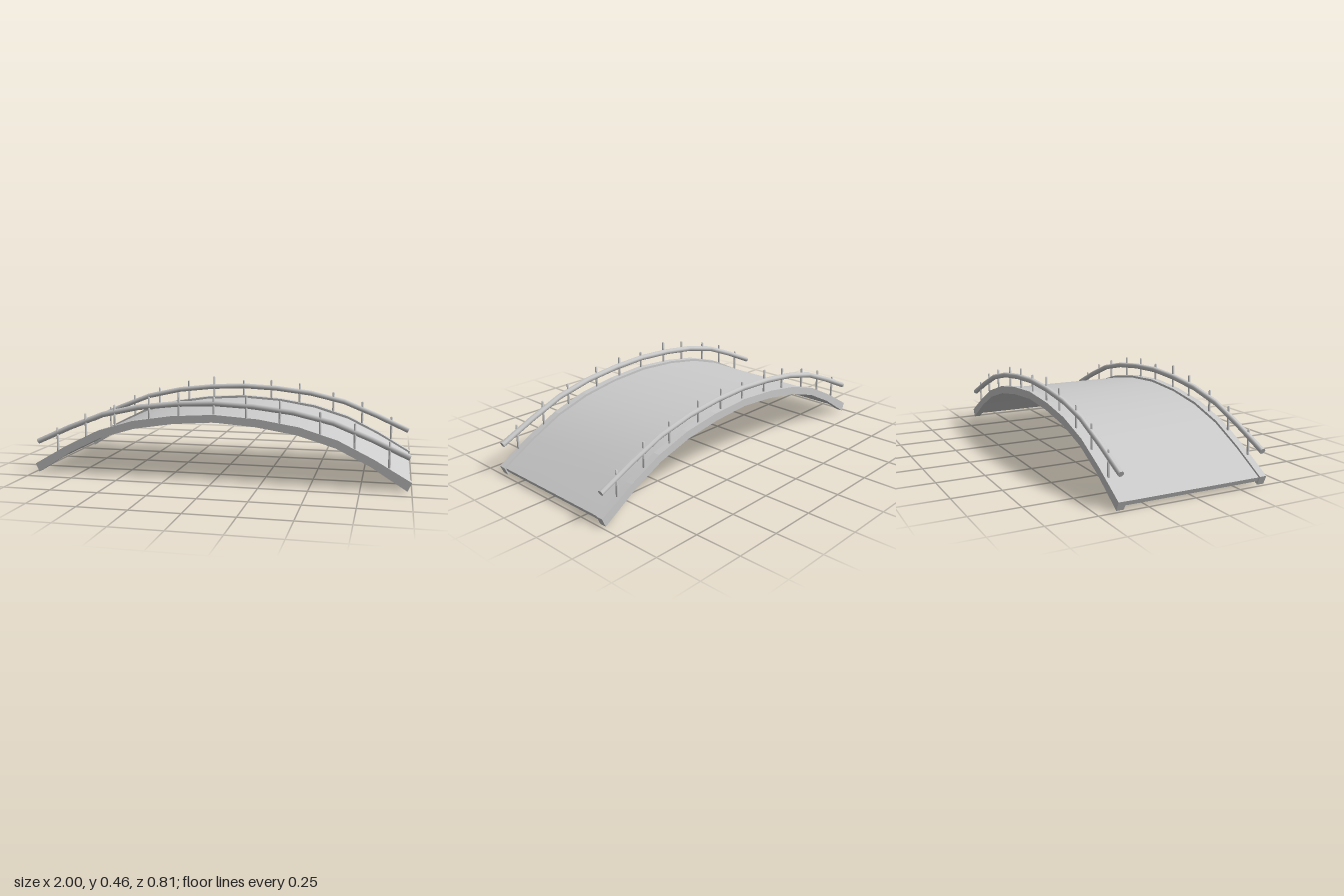
import * as THREE from 'three';
import { toCreasedNormals } from 'three/addons/utils/BufferGeometryUtils.js';

const grey = new THREE.MeshStandardMaterial({ color: 0xcccccc });

// Half profiles [x, y] from the crown to the end of the bridge
const beamTop = [[0, 0.348], [0.23, 0.333], [0.44, 0.3], [0.636, 0.24], [0.815, 0.152], [1, 0.045]];
const beamBottom = [[0, 0.308], [0.22, 0.292], [0.43, 0.259], [0.623, 0.201], [0.798, 0.115], [0.98, 0]];
const deckTop = [[0, 0.335], [0.23, 0.321], [0.437, 0.287], [0.632, 0.228], [0.81, 0.142], [0.99, 0.04]];
const deckBottom = [[0, 0.313], [0.225, 0.299], [0.432, 0.265], [0.624, 0.207], [0.8, 0.122], [0.98, 0.018]];
const railLine = [[0, 0.405], [0.23, 0.393], [0.44, 0.366], [0.632, 0.319], [0.81, 0.246], [0.987, 0.166]];

// Post positions: [x, y of the tip]
const posts = [
  [-0.87, 0.248], [-0.705, 0.33], [-0.54, 0.382], [-0.348, 0.43], [-0.187, 0.46], [0, 0.44],
  [0.17, 0.447], [0.342, 0.43], [0.545, 0.382], [0.717, 0.33], [0.888, 0.246],
];

// Mirror a half profile into a full left-to-right arch
const arch = (half) => [...half.slice(1).reverse().map(([x, y]) => [-x, y]), ...half];

function addMesh(parent, name, geometry) {
  const mesh = new THREE.Mesh(geometry, grey);
  mesh.name = name;
  parent.add(mesh);
  return mesh;
}

// Solid arch slab between two profiles, centred on its own z
function archSlab(top, bottom, width, crease) {
  const outline = [...arch(bottom), ...arch(top).reverse()].map(([x, y]) => new THREE.Vector2(x, y));
  const geometry = new THREE.ExtrudeGeometry(new THREE.Shape(outline), { depth: width, bevelEnabled: false });
  geometry.translate(0, 0, -width / 2);
  return toCreasedNormals(geometry, crease);
}

// Round rail swept along the arch, with closed ends
function railGeometry() {
  const path = new THREE.CatmullRomCurve3(arch(railLine).map(([x, y]) => new THREE.Vector3(x, y, 0)));
  const section = new THREE.Shape();
  for (let i = 0; i < 8; i++) {
    const a = ((i + 0.5) / 8) * Math.PI * 2;
    const x = Math.cos(a) * 0.0155, y = Math.sin(a) * 0.0155;
    if (i) section.lineTo(x, y); else section.moveTo(x, y);
  }
  const geometry = new THREE.ExtrudeGeometry(section, { steps: 10, extrudePath: path, bevelEnabled: false });
  return toCreasedNormals(geometry, 0.9);
}

// Thin post with a rounded tip, its top at y = 0
function postGeometry() {
  const r = 0.0065;
  const profile = [[0, -0.135], [r, -0.135], [r, -0.006], [r * 0.7, -0.0015], [0, 0]];
  return toCreasedNormals(new THREE.LatheGeometry(profile.map(([x, y]) => new THREE.Vector2(x, y)), 8), 0.9);
}

export function createModel() {
  const bridge = new THREE.Group();
  bridge.name = 'archedFootbridge';

  addMesh(bridge, 'deck', archSlab(deckTop, deckBottom, 0.74, 0.5));

  const beam = archSlab(beamTop, beamBottom, 0.038, 0.05);
  const rail = railGeometry();
  const post = postGeometry();
  const sides = [
    { name: 'front', beamZ: 0.384, railZ: 0.383, postZ: 0.39 },
    { name: 'back', beamZ: -0.384, railZ: -0.385, postZ: -0.383 },
  ];
  for (const { name, beamZ, railZ, postZ } of sides) {
    const side = new THREE.Group();
    side.name = name + 'Side';
    bridge.add(side);
    addMesh(side, name + 'Beam', beam).position.z = beamZ;
    addMesh(side, name + 'Handrail', rail).position.z = railZ;
    for (const [x, y] of posts) addMesh(side, name + 'Post', post).position.set(x, y, postZ);
  }
  return bridge;
}
